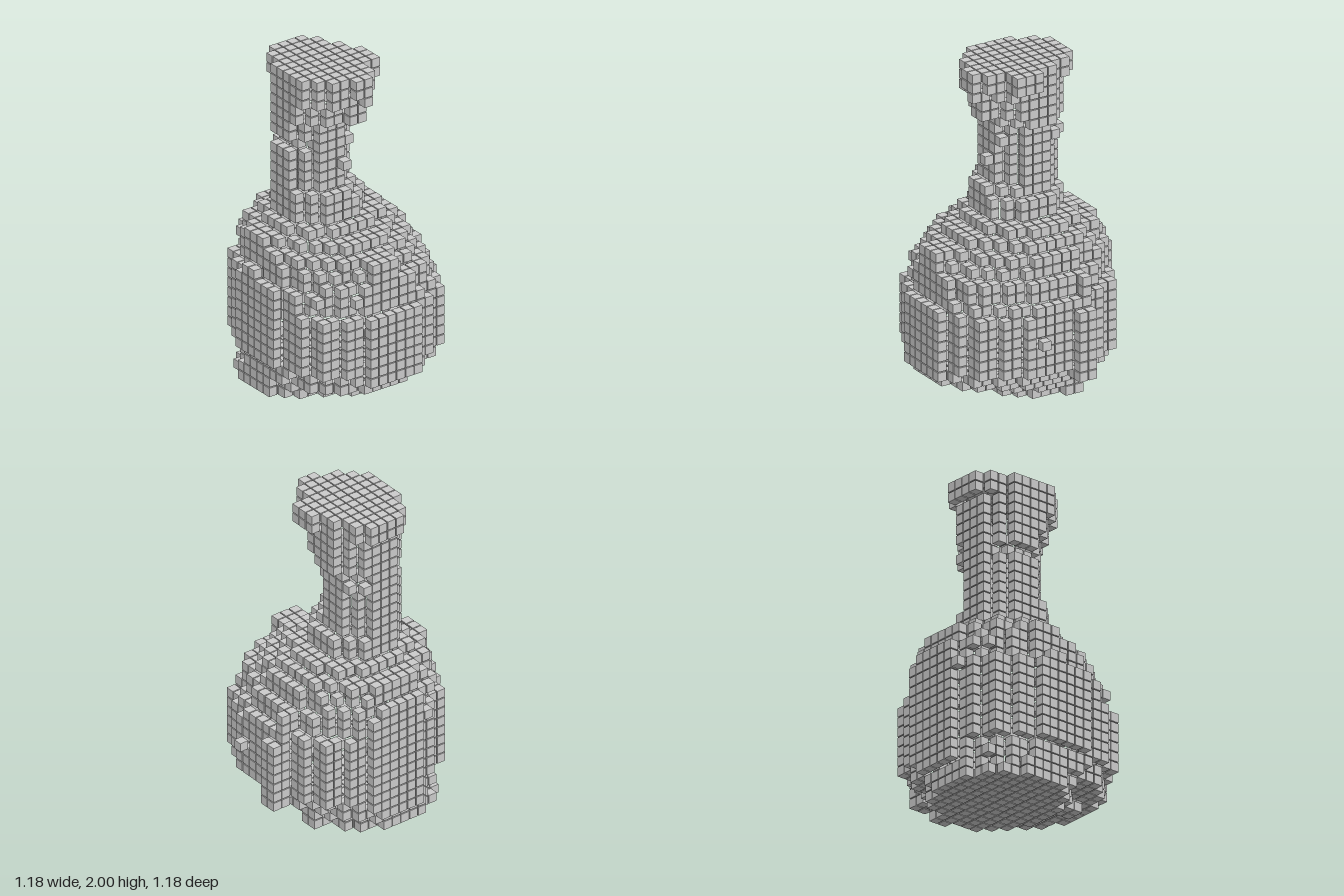
import * as THREE from 'three';
import { mergeGeometries } from 'three/addons/utils/BufferGeometryUtils.js';

const PITCH = 2 / 31.9;      // spacing of the cubes
const CUBE = PITCH * 0.9;    // edge of one cube
const LAYERS = 32;

// Runs of equal layers, from the floor up: [layer count, xMin, xMax, zMin, zMax] in cells
const RUNS = [
  [1, -8, 4, -8, 3], [1, -8, 5, -8, 4], [1, -8, 6, -9, 8], [1, -8, 7, -9, 9],
  [6, -9, 8, -9, 9], [1, -9, 8, -9, 8], [1, -9, 7, -9, 8],
  [1, -8, 7, -9, 8], [1, -8, 6, -9, 7], [1, -8, 6, -8, 6], [1, -7, 5, -8, 5],
  [1, -6, 4, -6, 3], [2, -5, 2, -5, 2], [1, -5, 1, -5, 2], [4, -5, 1, -5, 1],
  [1, -4, 1, -5, 1], [1, -5, 1, -5, 1], [1, -5, 2, -5, 1], [2, -5, 2, -5, 2],
  [1, -5, 2, -5, 3], [2, -5, 2, -6, 3],
];
const layers = RUNS.flatMap(([n, ...box]) => Array.from({ length: n }, () => box));

// Blocks standing proud of the surface: [xMin, xMax, zMin, zMax, first layer, last layer]
const BUMPS = [
  // base
  [5, 5, -4, -3, 0, 0], [-3, -2, 5, 6, 1, 1],
  // belly
  [-9, -9, -2, -1, 12, 12], [9, 9, -3, -2, 3, 9], [9, 9, 2, 2, 7, 7],
  [8, 8, -3, -3, 3, 12], [8, 8, -2, -2, 3, 10],
  // shoulder
  [-8, -8, -3, -1, 15, 15], [-2, 0, 7, 8, 13, 14],
  // neck and rim
  [-1, -1, 2, 2, 22, 22], [-1, 0, 3, 3, 27, 28], [0, 0, 4, 4, 29, 29],
  [-1, 0, 4, 4, 30, 31], [3, 3, -1, 1, 30, 31], [1, 1, 3, 3, 30, 31],
];

// Repeatable value from 0 to 1 for each upright column of cells
function columnNoise(x, z) {
  const s = Math.sin(x * 127.1 + z * 311.7) * 43758.5453;
  return s - Math.floor(s);
}

// Is the cell solid? Each layer is a slightly ragged ellipse, a little squarer in the belly.
function isFilled(x, j, z) {
  if (j < 0 || j >= LAYERS) return false;
  if (BUMPS.some(([a, b, c, d, j0, j1]) =>
    x >= a && x <= b && z >= c && z <= d && j >= j0 && j <= j1)) return true;
  const [x0, x1, z0, z1] = layers[j];
  const dx = Math.abs(x - (x0 + x1) / 2) / ((x1 - x0 + 1) / 2);
  const dz = Math.abs(z - (z0 + z1) / 2) / ((z1 - z0 + 1) / 2);
  const power = j >= 4 && j <= 11 ? 2.15 : 2;
  return dx ** power + dz ** power <= 1 + 0.1 * (columnNoise(x, z) - 0.5);
}

function isBuried(x, j, z) {
  return isFilled(x - 1, j, z) && isFilled(x + 1, j, z) && isFilled(x, j - 1, z) &&
    isFilled(x, j + 1, z) && isFilled(x, j, z - 1) && isFilled(x, j, z + 1);
}

// One mesh from all exposed cubes of a band of layers
function cubeBand(name, from, to, material) {
  const box = new THREE.BoxGeometry(CUBE, CUBE, CUBE);
  const cubes = [];
  for (let j = from; j <= to; j++)
    for (let x = -9; x <= 9; x++)
      for (let z = -9; z <= 9; z++)
        if (isFilled(x, j, z) && !isBuried(x, j, z))
          cubes.push(box.clone().translate(x * PITCH, j * PITCH + CUBE / 2, z * PITCH));
  const mesh = new THREE.Mesh(mergeGeometries(cubes), material);
  mesh.name = name;
  return mesh;
}

export function createModel() {
  const material = new THREE.MeshStandardMaterial({ color: 0xcccccc, flatShading: true });
  const group = new THREE.Group();
  group.name = 'cubeVase';
  group.add(
    cubeBand('base', 0, 2, material),
    cubeBand('belly', 3, 12, material),
    cubeBand('shoulder', 13, 16, material),
    cubeBand('neck', 17, 29, material),
    cubeBand('rim', 30, 31, material),
  );
  return group;
}
